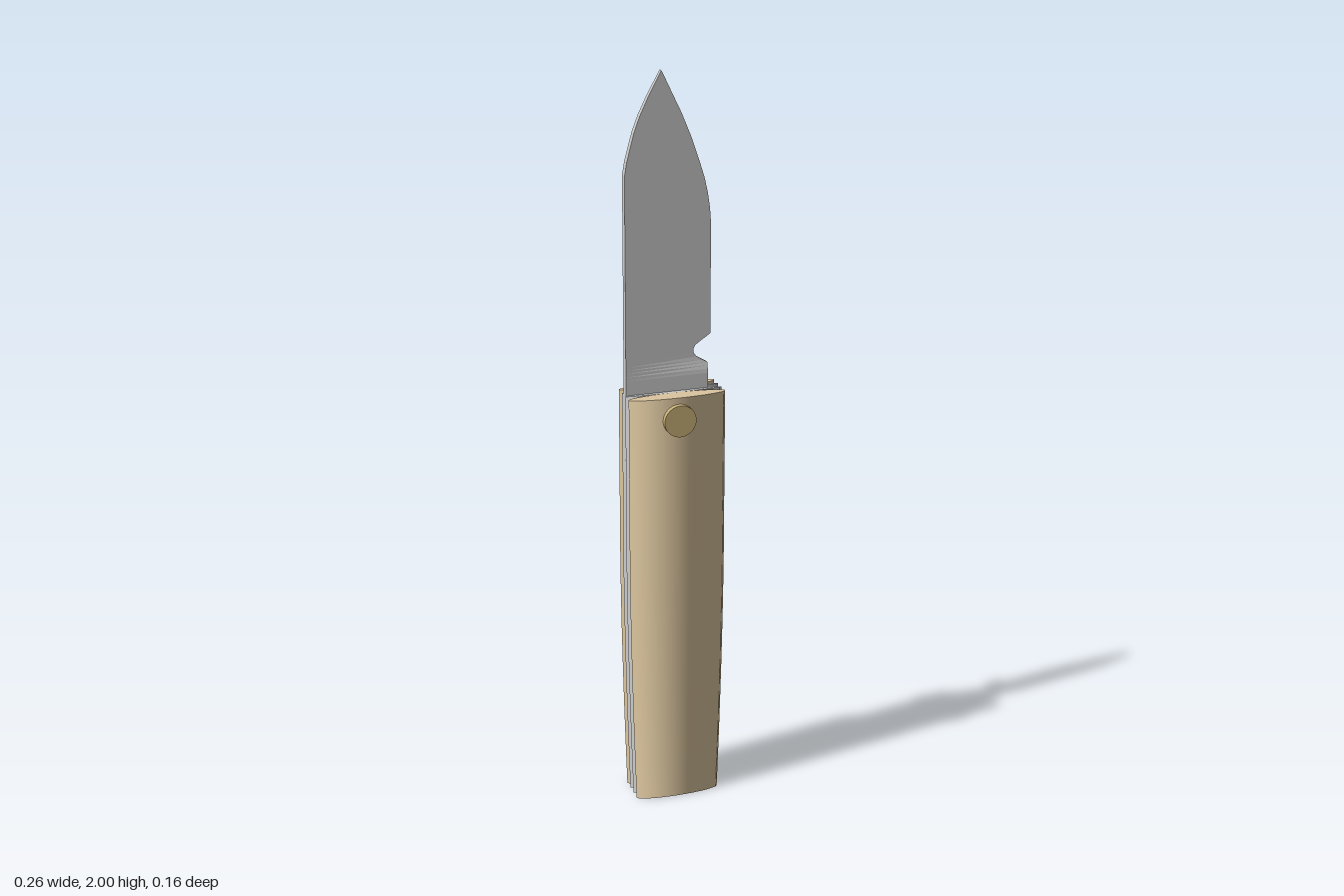
import * as THREE from 'three';

const steel = new THREE.MeshStandardMaterial({ color: 0xcccccc });
const bladeSteel = new THREE.MeshStandardMaterial({ color: 0xcccccc, flatShading: true });
const tan = new THREE.MeshStandardMaterial({ color: 0xdbc59e });
const brass = new THREE.MeshStandardMaterial({ color: 0xc8b078 });

const HANDLE_TOP = 1.16;
const lerp = THREE.MathUtils.lerp;

function add(parent, name, geometry, material, x = 0, y = 0, z = 0) {
  const mesh = new THREE.Mesh(geometry, material);
  mesh.name = name;
  mesh.position.set(x, y, z);
  parent.add(mesh);
  return mesh;
}

// Elliptical slab whose width narrows towards the butt
function slab(halfThickness) {
  const g = new THREE.CylinderGeometry(1, 1, HANDLE_TOP, 64, 12);
  g.translate(0, HANDLE_TOP / 2, 0);
  const p = g.attributes.position;
  for (let i = 0; i < p.count; i++) {
    const y = p.getY(i);
    const low = Math.max(0, 1 - y / 0.7);
    const halfWidth = 0.131 - 0.015 * Math.pow(low, 1.6);
    p.setXYZ(i, p.getX(i) * halfWidth, y, p.getZ(i) * halfThickness);
  }
  return g;
}

// Piecewise-linear lookup of x along y from [y, x] pairs
function lookup(pairs, y) {
  for (let i = 1; i < pairs.length; i++) {
    const [y0, x0] = pairs[i - 1], [y1, x1] = pairs[i];
    if (y <= y1) return lerp(x0, x1, (y - y0) / (y1 - y0));
  }
  return pairs[pairs.length - 1][1];
}

// Wedge-ground blade: rows of four corners from the tang up to the tip
function blade() {
  const spine = [[0.89, -0.06], [0.92, -0.1], [0.98, -0.128], [1.74, -0.128], [1.775, -0.122],
    [1.81, -0.113], [1.85, -0.102], [1.89, -0.087], [1.94, -0.063], [2, -0.03]];
  const edge = [[0.89, 0.03], [0.92, 0.07], [0.98, 0.095], [1.228, 0.095], [1.236, 0.082],
    [1.246, 0.066], [1.257, 0.058], [1.268, 0.057], [1.278, 0.063], [1.288, 0.078],
    [1.305, 0.104], [1.6, 0.104], [1.64, 0.101], [1.68, 0.095], [1.72, 0.086], [1.77, 0.07],
    [1.83, 0.049], [1.89, 0.024], [1.95, -0.005], [2, -0.029]];
  const extra = [1.2, 1.21, 1.22];
  const ys = [...new Set([...spine.map(a => a[0]), ...edge.map(a => a[0]), ...extra])]
    .sort((a, b) => a - b);
  // full thickness at the ricasso, tapering to the cutting edge above it
  const half = (x, y) => {
    const ground = THREE.MathUtils.smoothstep(y, 1.2, 1.25);
    return lerp(0.0105, lerp(0.0105, 0.0015, (x + 0.128) / 0.232), ground);
  };
  const positions = [], indices = [];
  ys.forEach((y, r) => {
    const l = lookup(spine, y), e = lookup(edge, y);
    const hl = half(l, y), he = half(e, y);
    positions.push(l, y, hl, e, y, he, e, y, -he, l, y, -hl);
    if (r === 0) return;
    const a = (r - 1) * 4, b = r * 4;
    for (let k = 0; k < 4; k++) {
      const n = (k + 1) % 4;
      indices.push(a + k, a + n, b + n, a + k, b + n, b + k);
    }
  });
  const t = (ys.length - 1) * 4;
  indices.push(0, 2, 1, 0, 3, 2, t, t + 1, t + 2, t, t + 2, t + 3);
  const g = new THREE.BufferGeometry();
  g.setAttribute('position', new THREE.Float32BufferAttribute(positions, 3));
  g.setIndex(indices);
  const flat = g.toNonIndexed();
  flat.computeVertexNormals();
  return flat;
}

// Cylinder lying along z
function pin(radius, length) {
  return new THREE.CylinderGeometry(radius, radius, length, 40).rotateX(Math.PI / 2);
}

export function createModel() {
  const model = new THREE.Group();
  model.name = 'foldingKnife';

  // Handle: outer scales and thin liners on both sides of the blade slot
  const scale = slab(0.022);
  const liner = slab(0.0075);
  for (const [side, s] of [['front', 1], ['back', -1]]) {
    const g = new THREE.Group();
    g.name = side + 'HandleHalf';
    add(g, side + 'Scale', scale, tan, 0, 0, 0.044 * s);
    add(g, side + 'Liner', liner, steel, 0, 0, 0.0145 * s);
    model.add(g);
  }

  add(model, 'blade', blade(), bladeSteel);

  // Pivot through the handle, thumb stud on the back of the blade
  add(model, 'pivot', pin(0.043, 0.16), brass, -0.002, 1.1, 0);
  add(model, 'thumbStud', pin(0.022, 0.04), brass, -0.049, 1.423, -0.027);

  // Pocket clip on the back scale
  add(model, 'pocketClip', new THREE.BoxGeometry(0.06, 0.69, 0.015), steel, -0.059, 0.475, -0.0745);

  return model;
}
